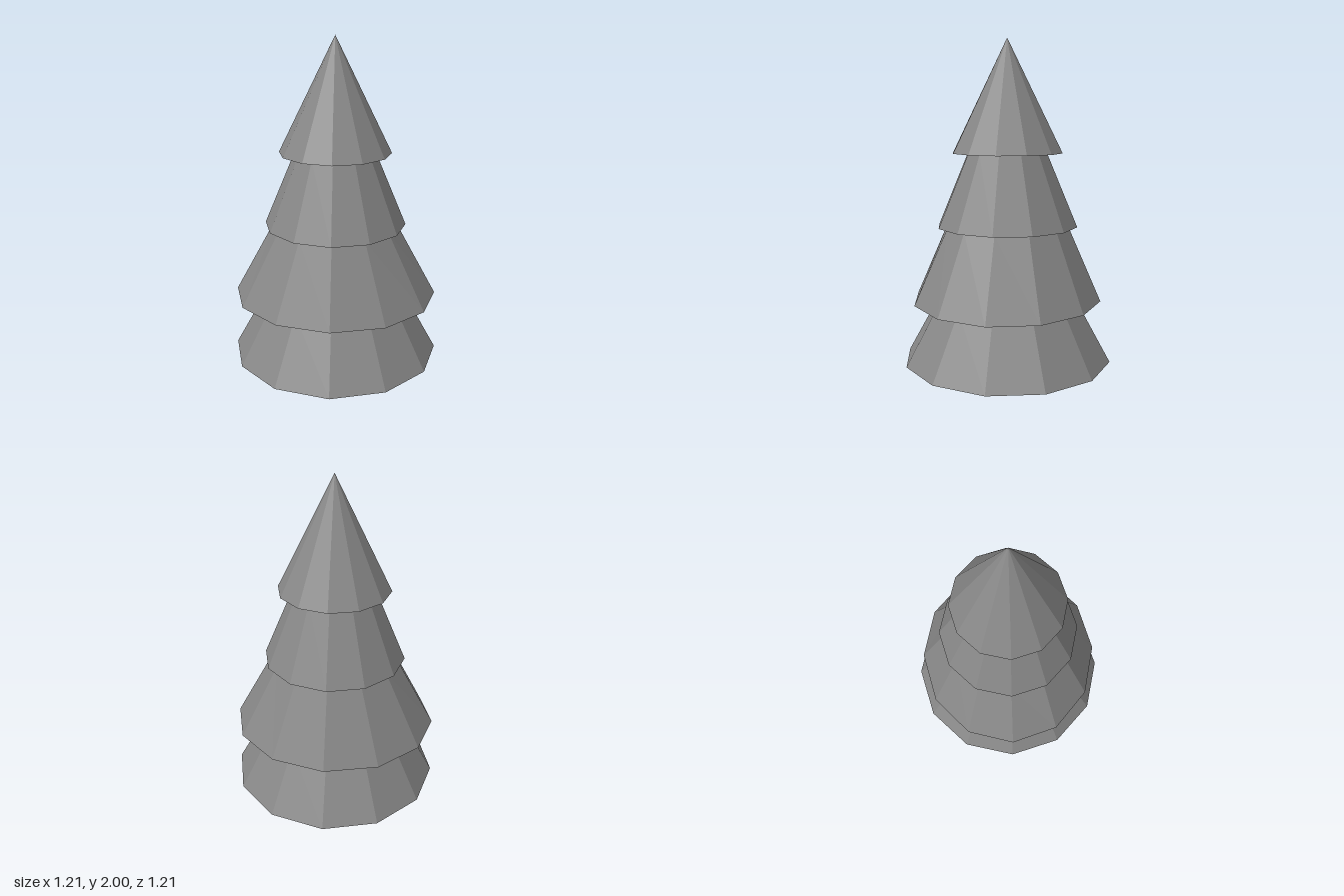
import * as THREE from 'three';

const SIDES = 12;
const needles = new THREE.MeshStandardMaterial({ color: 0x878787, flatShading: true });
const bark = new THREE.MeshStandardMaterial({ color: 0x242424, flatShading: true });

// Revolve a [radius, height] profile, listed from the underside to the top.
function revolved(name, profile, material = needles) {
  const points = profile.map(([r, y]) => new THREE.Vector2(r, y));
  const mesh = new THREE.Mesh(new THREE.LatheGeometry(points, SIDES), material);
  mesh.name = name;
  return mesh;
}

export function createModel() {
  const tree = new THREE.Group();
  tree.name = 'firTree';

  // Tapered dark trunk with a paler cut end, reaching up into the lowest tier
  tree.add(revolved('trunk', [[0.205, 0], [0.135, 0.38], [0, 0.38]], bark));
  tree.add(revolved('trunkCutEnd', [[0, 0], [0.205, 0]]));

  // Lowest tier: wide flat rim around a hollow underside
  tree.add(revolved('bottomTier', [
    [0, 0.36], [0.326, 0.36], [0.48, 0.157], [0.605, 0.157], [0.405, 0.517], [0.272, 0.76], [0, 0.76],
  ]));

  // Second tier: thin hollow skirt, squeezed front to back towards its rim
  const lower = revolved('lowerMiddleTier', [
    [0, 0.74], [0.46, 0.74], [0.589, 0.517], [0.59, 0.517], [0.355, 0.945], [0.27, 1.1], [0, 1.1],
  ]);
  const pos = lower.geometry.attributes.position;
  for (let i = 0; i < pos.count; i++) {
    const t = THREE.MathUtils.clamp((pos.getY(i) - 0.517) / 0.428, 0, 1);
    pos.setZ(i, pos.getZ(i) * THREE.MathUtils.lerp(0.923, 1, t));
  }
  lower.geometry.computeVertexNormals();
  tree.add(lower);

  // Upper tiers with flat undersides
  tree.add(revolved('upperMiddleTier', [
    [0, 0.943], [0.406, 0.943], [0.23, 1.36], [0.172, 1.5], [0, 1.5],
  ]));
  tree.add(revolved('topTier', [[0, 1.361], [0.318, 1.361], [0, 2]]));

  return tree;
}
